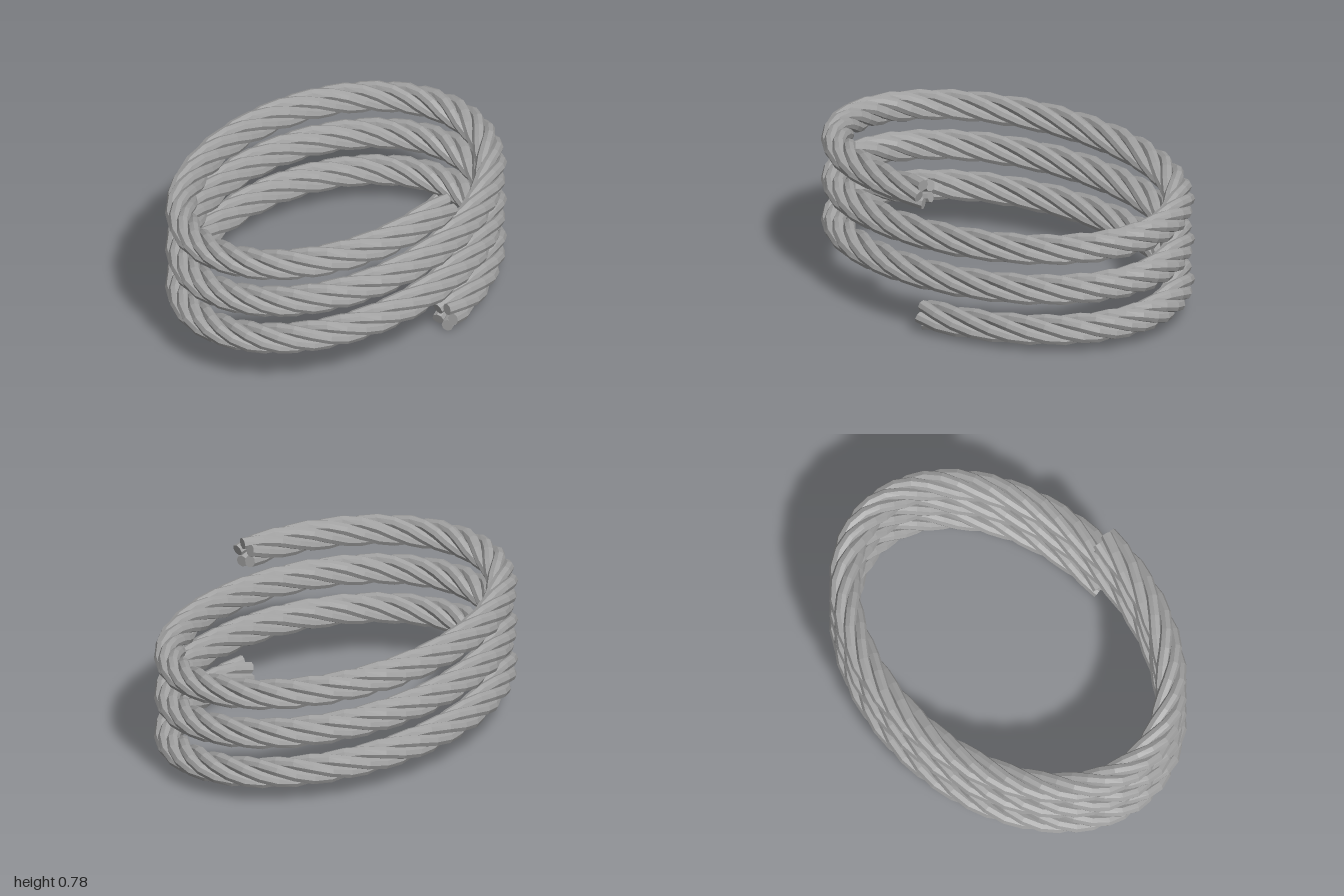
import * as THREE from 'three';

const TURNS = 3, STEPS = 60, SIDES = 8;   // coils, rings per coil, sides per strand
const STRANDS = 5, TWISTS = 6;            // strands in the rope, twists per coil
const LAY = 0.049, STRAND = 0.0295;       // strand distance from rope axis, strand radius
const A = 0.92, B = 0.642, BASE = 0.076, PITCH = 0.21;

// Centre line of the rope: a rising elliptical coil starting at the front
function ropeFrame(t) {
  const pos = new THREE.Vector3(A * Math.sin(t), BASE + PITCH * t / (2 * Math.PI), B * Math.cos(t));
  const tan = new THREE.Vector3(A * Math.cos(t), PITCH / (2 * Math.PI), -B * Math.sin(t)).normalize();
  const out = new THREE.Vector3(B * Math.sin(t), 0, A * Math.cos(t)).normalize();
  const up = out.clone().cross(tan).normalize();
  return { pos, out, up };
}

// Centre line of one strand twisting around the rope
function strandPoint(t, phase) {
  const { pos, out, up } = ropeFrame(t);
  const a = phase - TWISTS * t;
  return pos.addScaledVector(out, LAY * Math.cos(a)).addScaledVector(up, LAY * Math.sin(a));
}

function strandGeometry(phase) {
  const verts = [], index = [], rings = TURNS * STEPS;
  const centres = [];
  for (let i = 0; i <= rings; i++) {
    const t = i / STEPS * Math.PI * 2;
    const c = strandPoint(t, phase);
    const tan = strandPoint(t + 0.002, phase).sub(strandPoint(t - 0.002, phase)).normalize();
    const u = ropeFrame(t).out;
    u.addScaledVector(tan, -u.dot(tan)).normalize();
    const v = u.clone().cross(tan);
    centres.push(c);
    for (let j = 0; j < SIDES; j++) {
      const a = j / SIDES * Math.PI * 2;
      const p = c.clone().addScaledVector(u, STRAND * Math.cos(a)).addScaledVector(v, STRAND * Math.sin(a));
      verts.push(p.x, p.y, p.z);
    }
  }
  // Strand walls
  for (let i = 0; i < rings; i++) {
    for (let j = 0; j < SIDES; j++) {
      const k = (j + 1) % SIDES;
      const a = i * SIDES + j, b = i * SIDES + k, c = b + SIDES, d = a + SIDES;
      index.push(a, d, b, b, d, c);
    }
  }
  // Cut ends
  const first = verts.length / 3, last = first + 1, end = rings * SIDES;
  verts.push(...centres[0].toArray(), ...centres[rings].toArray());
  for (let j = 0; j < SIDES; j++) {
    const k = (j + 1) % SIDES;
    index.push(first, j, k, last, end + k, end + j);
  }
  const g = new THREE.BufferGeometry();
  g.setAttribute('position', new THREE.Float32BufferAttribute(verts, 3));
  g.setIndex(index);
  g.computeVertexNormals();
  return g;
}

export function createModel() {
  const model = new THREE.Group();
  model.name = 'coiledRope';
  const grey = new THREE.MeshStandardMaterial({ color: 0xa0a0a0, flatShading: true });
  grey.name = 'ropeGrey';
  for (let s = 0; s < STRANDS; s++) {
    const strand = new THREE.Mesh(strandGeometry(s / STRANDS * Math.PI * 2), grey);
    strand.name = 'ropeStrand' + (s + 1);
    model.add(strand);
  }
  return model;
}
